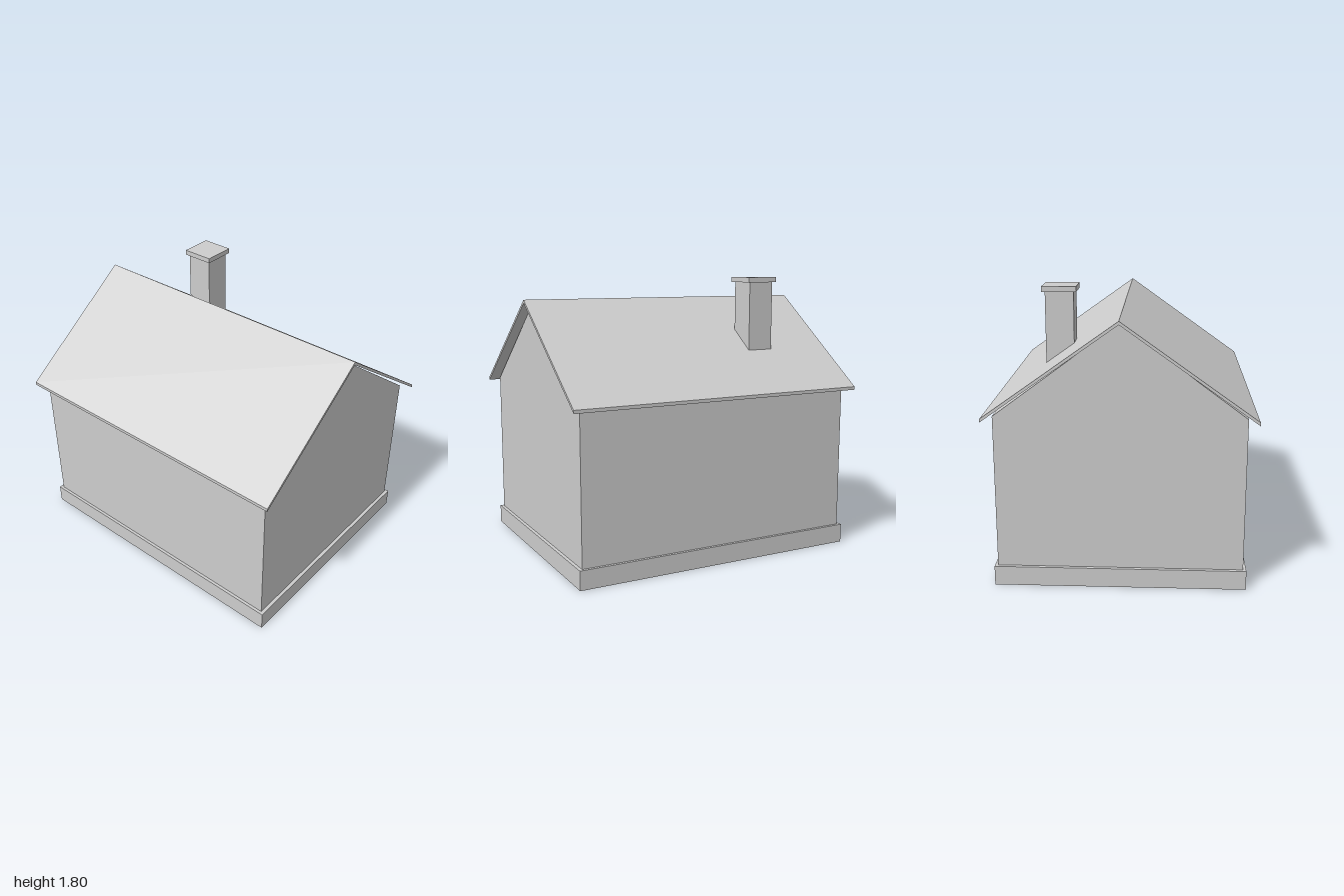
import * as THREE from 'three';

export function createModel() {
  const house = new THREE.Group();
  house.name = 'house';
  const grey = new THREE.MeshStandardMaterial({ color: 0xcccccc });
  grey.name = 'light grey';

  const add = (name, geometry, x, y, z) => {
    const mesh = new THREE.Mesh(geometry, grey);
    mesh.name = name;
    mesh.position.set(x, y, z);
    house.add(mesh);
  };

  // Box standing on the given height
  const block = (name, w, h, d, x, bottom, z) =>
    add(name, new THREE.BoxGeometry(w, h, d), x, bottom + h / 2, z);

  // Front outline extruded along z, centred on z = 0
  const prism = (name, points, depth) => {
    const shape = new THREE.Shape(points.map(([x, y]) => new THREE.Vector2(x, y)));
    add(name, new THREE.ExtrudeGeometry(shape, { depth, bevelEnabled: false }), 0, 0, -depth / 2);
  };

  // Plinth
  block('plinth', 1.544, 0.122, 1.924, 0, 0, 0);

  // Walls with both gables
  prism('walls', [[-0.753, 0.122], [0.753, 0.122], [0.753, 1.077], [0, 1.637], [-0.753, 1.077]], 1.88);

  // Thin roof folded at the ridge
  prism('roof', [
    [-0.815, 1.057], [0, 1.638], [0.815, 1.057],
    [0.815, 1.078], [0, 1.659], [-0.815, 1.078],
  ], 2);

  // Chimney and its cap
  block('chimney', 0.176, 0.563, 0.176, 0.388, 1.2, -0.469);
  block('chimneyCap', 0.213, 0.033, 0.213, 0.388, 1.763, -0.469);

  return house;
}
